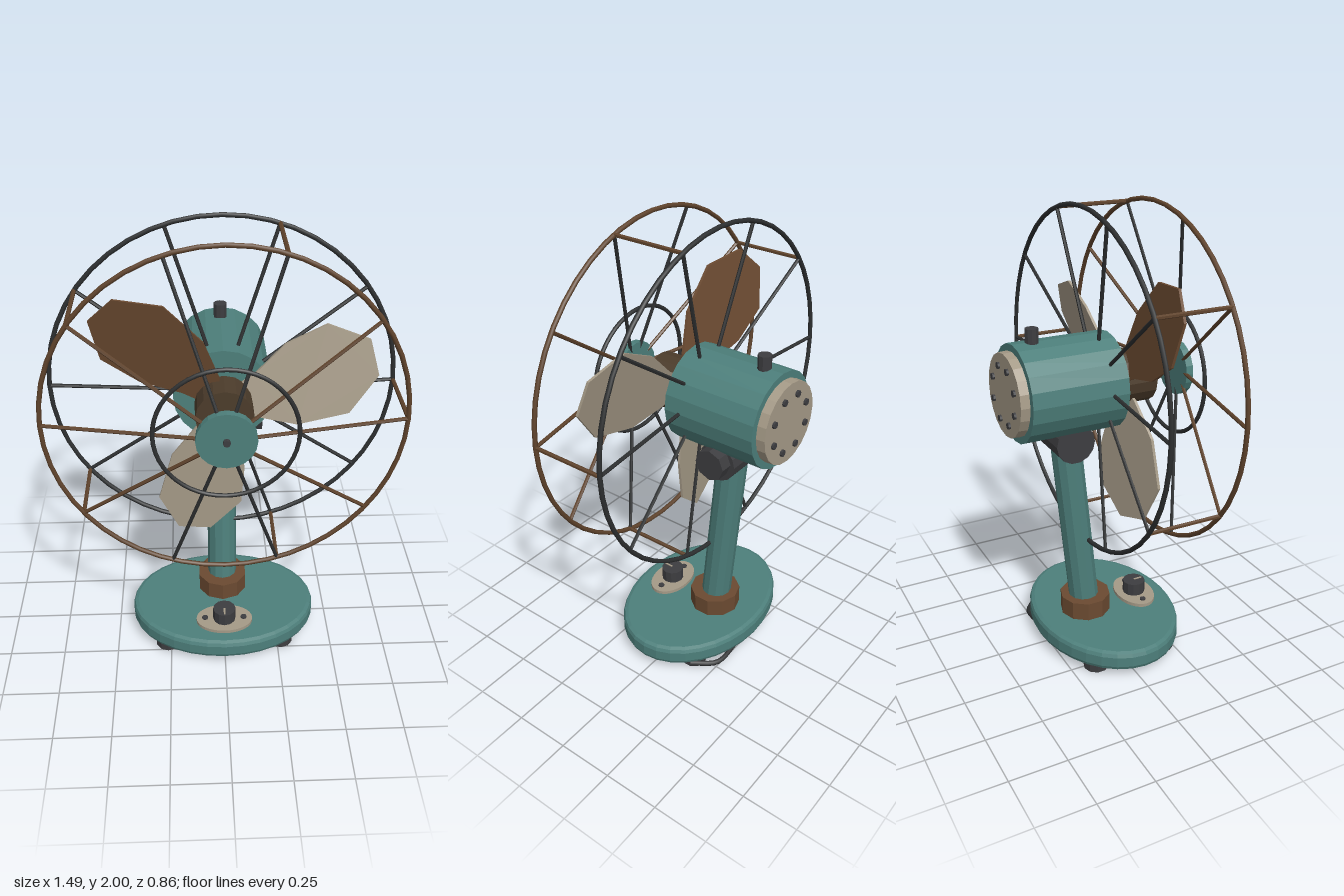
import * as THREE from 'three';

const mat = (name, color) => {
  const m = new THREE.MeshStandardMaterial({ color });
  m.name = name;
  return m;
};

// Faceted normals without touching the material
const flat = (geo) => {
  const g = geo.index ? geo.toNonIndexed() : geo;
  g.computeVertexNormals();
  return g;
};

export function createModel() {
  const teal = mat('teal enamel', 0x4d7f7b);
  const brown = mat('rusty brown', 0x6b4a31);
  const wireBrown = mat('brown wire', 0x5f432c);
  const wireDark = mat('dark wire', 0x2d2f30);
  const hubBrown = mat('dark bronze', 0x4c3c2b);
  const beige = mat('beige', 0xa59a87);
  const iron = mat('dark iron', 0x3d3d40);

  const model = new THREE.Group();
  model.name = 'deskFan';
  const V = (x, y, z) => new THREE.Vector3(x, y, z);
  const add = (name, geo, material, parent = model) => {
    const mesh = new THREE.Mesh(geo, material);
    mesh.name = name;
    parent.add(mesh);
    return mesh;
  };
  // Faceted cylinder running from point a to point b
  const rod = (name, a, b, r, sides, material, parent = model, rEnd = r) => {
    const dir = b.clone().sub(a);
    const geo = flat(new THREE.CylinderGeometry(rEnd, r, dir.length(), sides));
    const mesh = add(name, geo, material, parent);
    mesh.position.copy(a).add(b).multiplyScalar(0.5);
    mesh.quaternion.setFromUnitVectors(V(0, 1, 0), dir.normalize());
    return mesh;
  };
  // Oval slab with a bevelled rim, lying flat
  const slab = (name, rx, rz, y0, y1, bevel, z, material) => {
    const shape = new THREE.Shape().absellipse(0, 0, rx - bevel, rz - bevel, 0, Math.PI * 2);
    const geo = new THREE.ExtrudeGeometry(shape, {
      depth: y1 - y0 - 2 * bevel, curveSegments: 16,
      bevelEnabled: bevel > 0, bevelThickness: bevel, bevelSize: bevel, bevelSegments: 2,
    });
    geo.rotateX(-Math.PI / 2).translate(0, y0 + bevel, z);
    return add(name, flat(geo), material);
  };

  // Base with feet
  slab('base', 0.43, 0.325, 0.04, 0.13, 0.022, 0.03, teal);
  for (const x of [-0.265, 0.265]) {
    for (const z of [-0.135, 0.2]) rod('foot', V(x, 0, z), V(x, 0.045, z), 0.057, 10, iron);
  }

  // Power cord tucked under the back edge
  const cordPath = new THREE.CatmullRomCurve3([
    V(0.1, 0.036, -0.255), V(0.24, 0.022, -0.25), V(0.33, 0.034, -0.16)]);
  add('cord', new THREE.TubeGeometry(cordPath, 10, 0.012, 6), wireDark);

  // Speed control
  slab('controlPlate', 0.13, 0.087, 0.13, 0.146, 0, 0.2, beige);
  rod('controlKnob', V(0, 0.14, 0.2), V(0, 0.205, 0.2), 0.052, 12, iron);
  const pointer = add('knobPointer', new THREE.BoxGeometry(0.008, 0.004, 0.04), beige);
  pointer.position.set(0, 0.206, 0.222);
  for (const x of [-0.09, 0.09]) {
    rod('plateScrew', V(x, 0.14, 0.2), V(x, 0.153, 0.2), 0.014, 8, iron);
  }

  // Leaning stand and tilt joint
  rod('collar', V(0, 0.125, -0.06), V(0, 0.215, -0.06), 0.116, 10, brown);
  rod('stand', V(0, 0.13, -0.06), V(0, 1.03, -0.153), 0.068, 12, teal);
  rod('tiltJoint', V(-0.12, 1.03, -0.155), V(0.125, 1.03, -0.155), 0.088, 14, iron);
  rod('tiltKnob', V(0.125, 1.04, -0.155), V(0.18, 1.04, -0.155), 0.07, 8, iron);

  // Head: everything centred on the fan axis
  const head = new THREE.Group();
  head.name = 'head';
  head.position.y = 1.253;
  model.add(head);
  const axial = (name, z0, z1, r, sides, material, rEnd) =>
    rod(name, V(0, 0, z0), V(0, 0, z1), r, sides, material, head, rEnd);
  const polar = (r, a, z) => V(r * Math.cos(a), r * Math.sin(a), z);

  axial('motorHousing', 0.05, -0.38, 0.21, 20, teal);
  axial('backPlate', -0.375, -0.42, 0.18, 20, beige, 0.178);
  for (let i = 0; i < 8; i++) {
    const a = (i + 0.5) * Math.PI / 4;
    rod('backScrew', polar(0.125, a, -0.415), polar(0.125, a, -0.43), 0.015, 8, iron, head);
  }
  rod('oscillationKnob', V(0, 0.18, -0.293), V(0, 0.268, -0.293), 0.029, 10, iron, head);
  axial('shaft', 0.04, 0.12, 0.035, 10, iron);
  axial('hub', 0.095, 0.232, 0.12, 16, hubBrown);

  // Three pitched blades, one replaced in brown
  const outline = [[0.06, 0.05], [0.16, 0.075], [0.32, 0.15], [0.505, 0.17], [0.648, 0.056],
    [0.635, -0.09], [0.473, -0.2], [0.256, -0.178], [0.1, -0.09], [0.06, -0.05]];
  const bladeShape = new THREE.Shape(outline.map(([x, y]) => new THREE.Vector2(x, y)));
  const bladeGeo = new THREE.ExtrudeGeometry(bladeShape, { depth: 0.012, bevelEnabled: false });
  const p = bladeGeo.attributes.position;
  for (let i = 0; i < p.count; i++) p.setZ(i, p.getZ(i) + 0.105 - 0.24 * p.getY(i));
  bladeGeo.computeVertexNormals();
  [beige, brown, beige].forEach((material, i) => {
    add('blade', bladeGeo, material, head).rotation.z = (20 + 120 * i) * Math.PI / 180;
  });

  // Cage rings
  const ring = (name, r, z, tube, material) => {
    add(name, new THREE.TorusGeometry(r, tube, 8, 48), material, head).position.z = z;
  };
  ring('frontRing', 0.735, 0.26, 0.01, wireBrown);
  ring('backRing', 0.735, -0.07, 0.01, wireDark);
  ring('innerRing', 0.288, 0.36, 0.009, wireDark);

  // Cage spokes and cross bars
  for (let i = 0; i < 10; i++) {
    const a = i * Math.PI / 5;
    const steep = Math.abs(Math.sin(a)) > 0.8;
    rod('frontSpoke', polar(0.735, a, 0.26), polar(0.08, a, 0.385), 0.008, 6,
      steep ? wireDark : wireBrown, head);
    rod('backSpoke', polar(0.735, a, -0.07), polar(0.19, a, -0.02), 0.008, 6, wireDark, head);
    if (i % 2 === 0) {
      rod('crossBar', polar(0.735, a, -0.07), polar(0.735, a, 0.26), 0.009, 6, wireBrown, head);
    }
  }

  // Front badge disc and its pin
  axial('frontCap', 0.375, 0.408, 0.122, 20, teal);
  axial('capPin', 0.4, 0.425, 0.015, 8, iron);

  return model;
}
